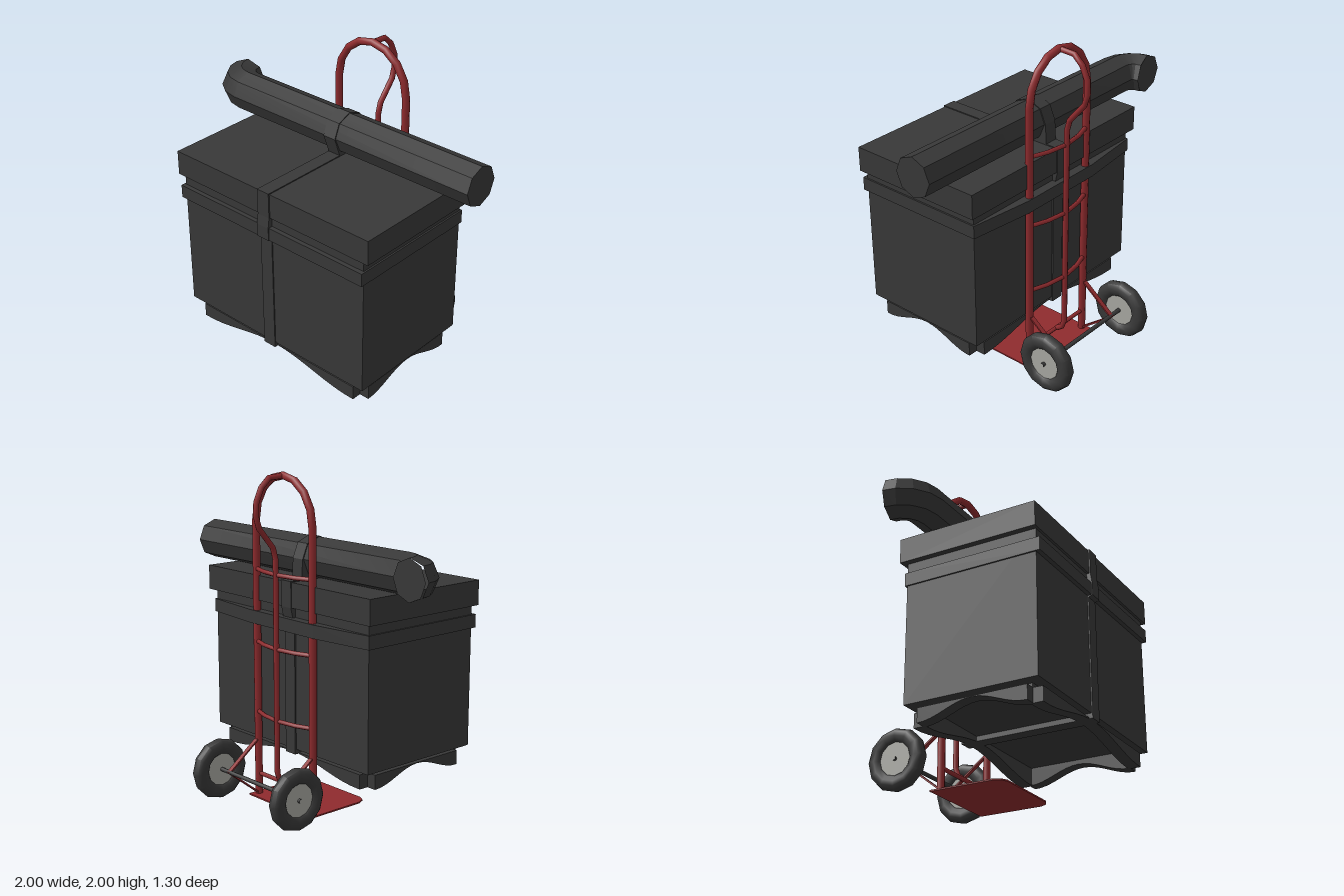
import * as THREE from 'three';
import { toCreasedNormals } from 'three/addons/utils/BufferGeometryUtils.js';

const CX = 0.06; // centre line of the box and the hand truck

// Curve that visits its points exactly, for tubes with chosen rings
class PolyPath extends THREE.Curve {
  constructor(points) {
    super();
    this.points = points.map((p) => new THREE.Vector3(...p));
  }
  getPointAt(u) {
    return this.points[Math.round(u * (this.points.length - 1))].clone();
  }
  getTangentAt(u) {
    const n = this.points.length - 1, i = Math.round(u * n);
    return this.points[Math.min(n, i + 1)].clone().sub(this.points[Math.max(0, i - 1)]).normalize();
  }
}

export function createModel() {
  const material = (name, color) => {
    const m = new THREE.MeshStandardMaterial({ color });
    m.name = name;
    return m;
  };
  const charcoal = material('charcoal', 0x383838);
  const red = material('red paint', 0x8f2b2e);
  const steel = material('light steel', 0xa8a8a2);

  const model = new THREE.Group();
  model.name = 'loadedHandTruck';
  const load = new THREE.Group();
  load.name = 'load';
  const truck = new THREE.Group();
  truck.name = 'handTruck';
  model.add(load, truck);

  const add = (parent, name, geometry, mat, x = 0, y = 0, z = 0) => {
    const mesh = new THREE.Mesh(geometry, mat);
    mesh.name = name;
    mesh.position.set(x, y, z);
    parent.add(mesh);
    return mesh;
  };
  // Box given by its limits
  const block = (parent, name, mat, [x0, x1], [y0, y1], [z0, z1]) =>
    add(parent, name, new THREE.BoxGeometry(x1 - x0, y1 - y0, z1 - z0), mat,
      (x0 + x1) / 2, (y0 + y1) / 2, (z0 + z1) / 2);
  const tube = (parent, name, points, radius, mat, sides = 8) =>
    add(parent, name, new THREE.TubeGeometry(new PolyPath(points), points.length - 1, radius, sides), mat);
  const extrude = (points, depth) => new THREE.ExtrudeGeometry(
    new THREE.Shape(points.map((p) => new THREE.Vector2(...p))), { depth, bevelEnabled: false });

  // Box and lid
  block(load, 'boxBody', charcoal, [-0.625, 0.742], [0.36, 1.23], [-0.207, 0.62]);
  block(load, 'lid', charcoal, [-0.663, 0.782], [1.22, 1.37], [-0.237, 0.635]);

  // Arched skirts: a thick outer foot and a thin web up to the box
  const skirt = (half, top, depth) => {
    const pts = [[half, top], [-half, top]];
    for (let i = 0; i <= 16; i++) {
      const t = -1 + i / 8;
      const y = 0.333 - 0.083 * (1 - Math.cos(Math.PI * Math.min(1, Math.abs(t) * 1.02))) / 2;
      pts.push([t * half, y]);
    }
    return extrude(pts, depth);
  };
  const boxZ = 0.207;
  for (const [turn, half, reach] of [[0, 0.603, 0.398], [1, 0.338, 0.665],
    [2, 0.603, 0.398], [3, 0.338, 0.665]]) {
    const side = new THREE.Group();
    side.name = 'skirt';
    side.position.set(CX, 0, boxZ);
    side.rotation.y = turn * Math.PI / 2;
    add(side, 'skirtFoot', skirt(half, 0.337, 0.057), charcoal, 0, 0, reach - 0.057);
    add(side, 'skirtWeb', skirt(half, 0.361, 0.02), charcoal, 0, 0, reach - 0.076);
    load.add(side);
  }

  // Long eight-sided pipe with an elbow turning to the back
  const pipeY = 1.494, pipeZ = -0.025, pipeR = 0.121, bend = 0.137;
  const pipe = [[1, pipeY, pipeZ]];
  for (let i = 0; i <= 4; i++) {
    const a = i * Math.PI / 8;
    pipe.push([-0.742 - bend * Math.sin(a), pipeY, pipeZ - bend * (1 - Math.cos(a))]);
  }
  const pipeMesh = tube(load, 'pipe', pipe, pipeR, charcoal);
  pipeMesh.geometry = toCreasedNormals(pipeMesh.geometry, 0.3);
  const cap = new THREE.CircleGeometry(pipeR, 8);
  add(load, 'pipeEndCap', cap, charcoal, 1, pipeY, pipeZ).rotation.y = Math.PI / 2;
  add(load, 'elbowEndCap', cap, charcoal, -0.742 - bend, pipeY, pipeZ - bend).rotation.y = Math.PI;

  // Strap over the pipe and round the box, as a (z, y) outline
  const strap = [[0.627, 0.33], [0.627, 1.07], [0.652, 1.08], [0.652, 1.16], [0.643, 1.22],
    [0.643, 1.376], [0.06, 1.376]];
  for (let i = 0; i <= 4; i++) {
    const a = i * Math.PI / 4;
    strap.push([pipeZ + 0.128 * Math.cos(a), pipeY + 0.126 * Math.sin(a)]);
  }
  strap.push([-0.16, 1.376], [-0.243, 1.376], [-0.243, 1.22], [-0.216, 1.1], [-0.216, 0.33]);
  add(load, 'verticalStrap', extrude(strap, 0.086).rotateY(-Math.PI / 2), charcoal, 0.076);

  // Belt round the box, pulled out over the truck rails (plan outline x, -z)
  const belt = [[-0.635, -0.647], [0.752, -0.647], [0.752, 0.217], [0.345, 0.262],
    [-0.225, 0.262], [-0.635, 0.217]];
  add(load, 'horizontalStrap', extrude(belt, 0.08).rotateX(-Math.PI / 2), charcoal, 0, 1.08);

  // Hooped frame
  const railZ = -0.235, halfSpan = 0.252;
  const hoop = [[CX - halfSpan, 0.005, railZ]];
  for (let i = 0; i <= 8; i++) {
    const a = Math.PI * (1 - i / 8);
    hoop.push([CX + halfSpan * Math.cos(a), 1.7 + 0.277 * Math.sin(a), railZ]);
  }
  hoop.push([CX + halfSpan, 0.005, railZ]);
  tube(truck, 'frameHoop', hoop, 0.023, red);

  // Centre bar, bent back into a handle at the top
  const centre = [[0.14, -0.24], [0.17, -0.28], [0.22, -0.296], [1.5, -0.296], [1.57, -0.315],
    [1.63, -0.365], [1.69, -0.415], [1.76, -0.436], [1.84, -0.432], [1.92, -0.395],
    [1.97, -0.34], [1.975, railZ]];
  tube(truck, 'centreBar', centre.map(([y, z]) => [CX, y, z]), 0.017, red);

  // Cross bars, bowed back to meet the centre bar
  for (const y of [0.535, 0.97, 1.41]) {
    const bar = [[-1, railZ], [-0.55, -0.273], [0, -0.292], [0.55, -0.273], [1, railZ]];
    tube(truck, 'crossBar', bar.map(([t, z]) => [CX + t * halfSpan, y, z]), 0.014, red, 6);
  }
  tube(truck, 'lowerCrossBar',
    [[CX - halfSpan, 0.138, railZ], [CX + halfSpan, 0.138, railZ]], 0.013, red, 6);

  // Toe plate with clipped front corners (plan outline x, -z)
  const plate = [[-0.22, 0.292], [-0.22, -0.11], [-0.2, -0.155], [-0.16, -0.175],
    [0.28, -0.175], [0.32, -0.155], [0.34, -0.11], [0.34, 0.292]];
  add(truck, 'toePlate', extrude(plate, 0.009).rotateX(-Math.PI / 2), red);

  // Wheels, axle and struts
  const axleY = 0.189, axleZ = -0.457;
  tube(truck, 'axle', [[-0.345, axleY, axleZ], [0.465, axleY, axleZ]], 0.013, charcoal);
  const tyre = toCreasedNormals(new THREE.LatheGeometry([
    [0.1, -0.025], [0.108, -0.034], [0.135, -0.043], [0.162, -0.041], [0.18, -0.026],
    [0.188, 0], [0.18, 0.026], [0.162, 0.041], [0.135, 0.043], [0.108, 0.034], [0.1, 0.025],
  ].map((p) => new THREE.Vector2(...p)), 12).rotateZ(Math.PI / 2), 0.7);
  const hub = new THREE.CylinderGeometry(0.106, 0.106, 0.05, 12).rotateZ(Math.PI / 2);
  for (const s of [-1, 1]) {
    const wheel = new THREE.Group();
    wheel.name = 'wheel';
    wheel.position.set(CX + s * 0.361 - 0.003, axleY, axleZ);
    add(wheel, 'tyre', tyre, charcoal);
    add(wheel, 'hub', hub, steel);
    truck.add(wheel);

    for (const y of [0.36, 0.015]) {
      const from = new THREE.Vector3(CX + s * halfSpan, y, railZ - 0.01);
      const to = new THREE.Vector3(CX + s * halfSpan, axleY, axleZ - 0.01);
      const strut = add(truck, 'axleStrut',
        new THREE.BoxGeometry(0.028, 0.01, from.distanceTo(to)), red);
      strut.position.copy(from).lerp(to, 0.5);
      strut.lookAt(to);
    }
  }
  return model;
}
